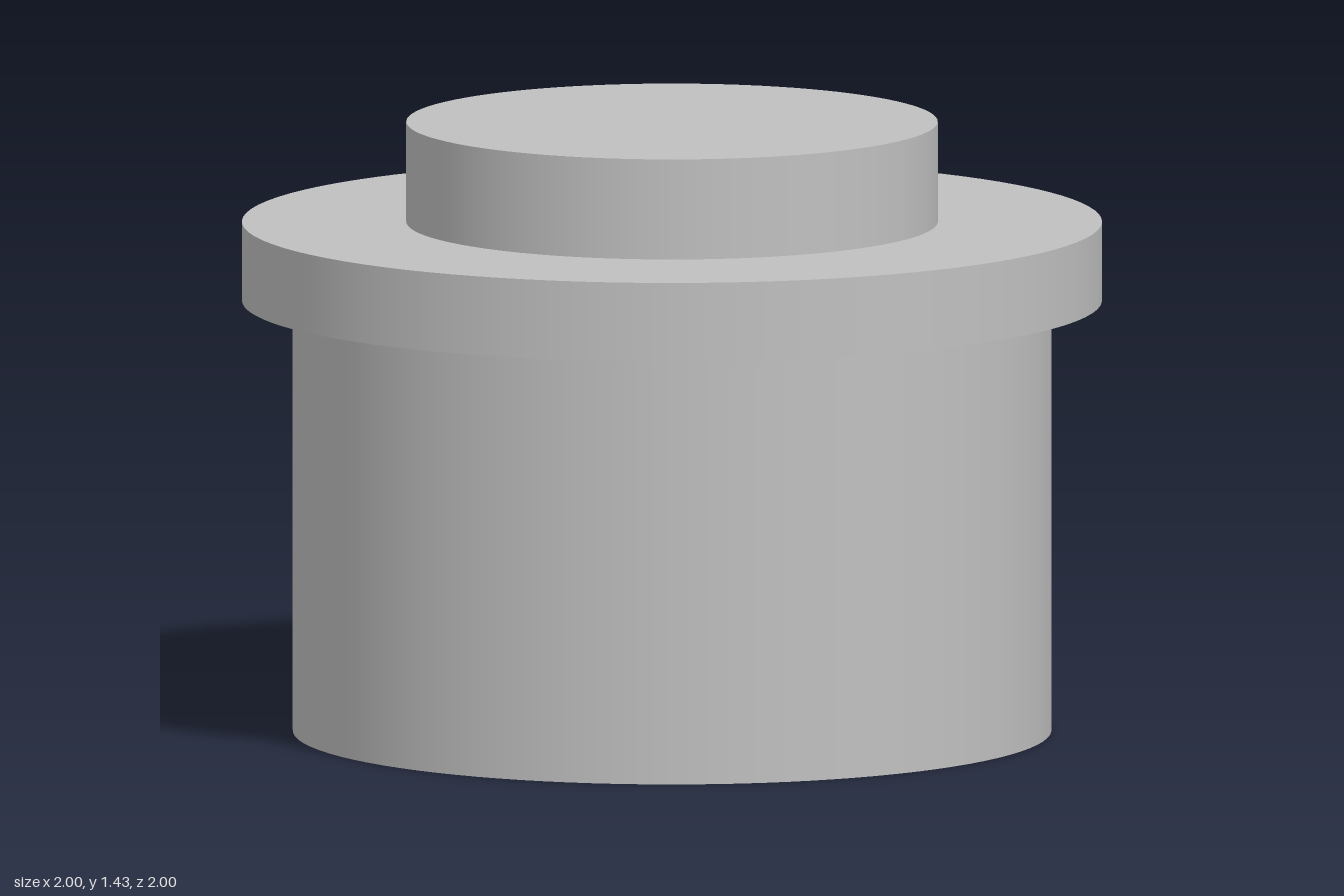
import * as THREE from 'three';

const SEGMENTS = 96;

export function createModel() {
  const model = new THREE.Group();
  model.name = 'flangedPlug';
  const grey = new THREE.MeshStandardMaterial({ color: 0xc0c0c0 });
  grey.name = 'light grey';

  // Turns each straight run of a profile on its own, so corners stay sharp
  function turnedPart(name, faces) {
    const part = new THREE.Group();
    part.name = name;
    for (const [faceName, r0, y0, r1, y1] of faces) {
      const points = [new THREE.Vector2(r0, y0), new THREE.Vector2(r1, y1)];
      const mesh = new THREE.Mesh(new THREE.LatheGeometry(points, SEGMENTS), grey);
      mesh.name = faceName;
      part.add(mesh);
    }
    model.add(part);
  }

  const bore = 0.49, boreDepth = 0.435;
  const body = 0.882, bodyTop = 1.01;
  const flange = 1, flangeTop = 1.195;
  const boss = 0.618, bossTop = 1.43;

  // Blind hole in the underside
  turnedPart('bore', [
    ['boreCeiling', 0, boreDepth, bore, boreDepth],
    ['boreWall', bore, boreDepth, bore, 0],
  ]);
  // Main cylinder
  turnedPart('body', [
    ['bodyBase', bore, 0, body, 0],
    ['bodyWall', body, 0, body, bodyTop],
  ]);
  // Wide collar
  turnedPart('flange', [
    ['flangeUnderside', body, bodyTop, flange, bodyTop],
    ['flangeRim', flange, bodyTop, flange, flangeTop],
    ['flangeTop', flange, flangeTop, boss, flangeTop],
  ]);
  // Raised disc on top
  turnedPart('boss', [
    ['bossWall', boss, flangeTop, boss, bossTop],
    ['bossTop', boss, bossTop, 0, bossTop],
  ]);

  return model;
}
